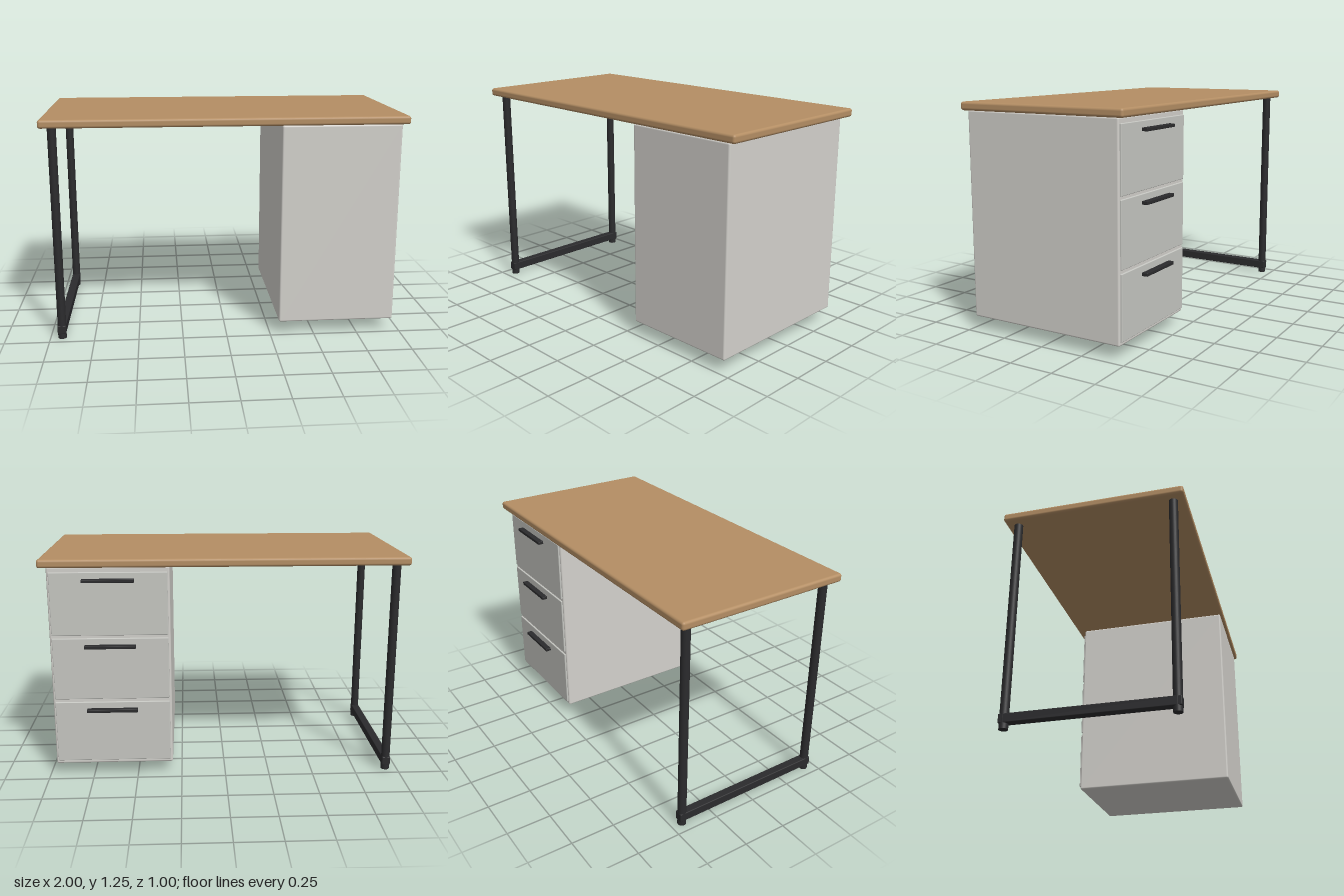
import * as THREE from 'three';
import { RoundedBoxGeometry } from 'three/addons/geometries/RoundedBoxGeometry.js';

const material = (color) => new THREE.MeshStandardMaterial({ color });

export function createModel() {
  const desk = new THREE.Group();
  desk.name = 'desk';
  const wood = material(0xb48e64);
  const body = material(0xd3d1cc);
  const front = material(0xc6c7c2);
  const metal = material(0x2b2b2d);

  const add = (name, geometry, mat, x, y, z, parent = desk) => {
    const mesh = new THREE.Mesh(geometry, mat);
    mesh.name = name;
    mesh.position.set(x, y, z);
    parent.add(mesh);
    return mesh;
  };
  const rounded = (w, h, d, r) => new RoundedBoxGeometry(w, h, d, 3, r);

  // Worktop with softened edges
  add('worktop', rounded(2, 0.046, 1, 0.014), wood, 0, 1.227, 0);

  // Drawer cabinet, its drawers opening towards the back
  const cabinet = new THREE.Group();
  cabinet.name = 'drawerCabinet';
  desk.add(cabinet);
  const cx = 0.63;
  add('cabinetBody', rounded(0.66, 1.132, 0.936, 0.01), body, cx, 0.638, 0.017, cabinet);

  // Three drawers, each with a bar handle
  [0.268, 0.635, 1.0].forEach((y, i) => {
    const drawer = new THREE.Group();
    drawer.name = `drawer${i + 1}`;
    cabinet.add(drawer);
    add('drawerFront', rounded(0.636, 0.349, 0.02, 0.004), front, cx, y, -0.45, drawer);
    add('drawerHandle', rounded(0.28, 0.018, 0.033, 0.003), metal, cx, y + 0.133, -0.4835, drawer);
  });

  // Leg frame: two round posts joined by a low rail
  const frame = new THREE.Group();
  frame.name = 'legFrame';
  desk.add(frame);
  const lx = -0.934;
  for (const side of [1, -1]) {
    add(side > 0 ? 'frontLeg' : 'backLeg',
      new THREE.CylinderGeometry(0.024, 0.024, 1.205, 24), metal, lx, 0.6025, side * 0.435, frame);
  }
  add('legRail', rounded(0.047, 0.05, 0.918, 0.005), metal, lx, 0.053, 0, frame);

  return desk;
}
